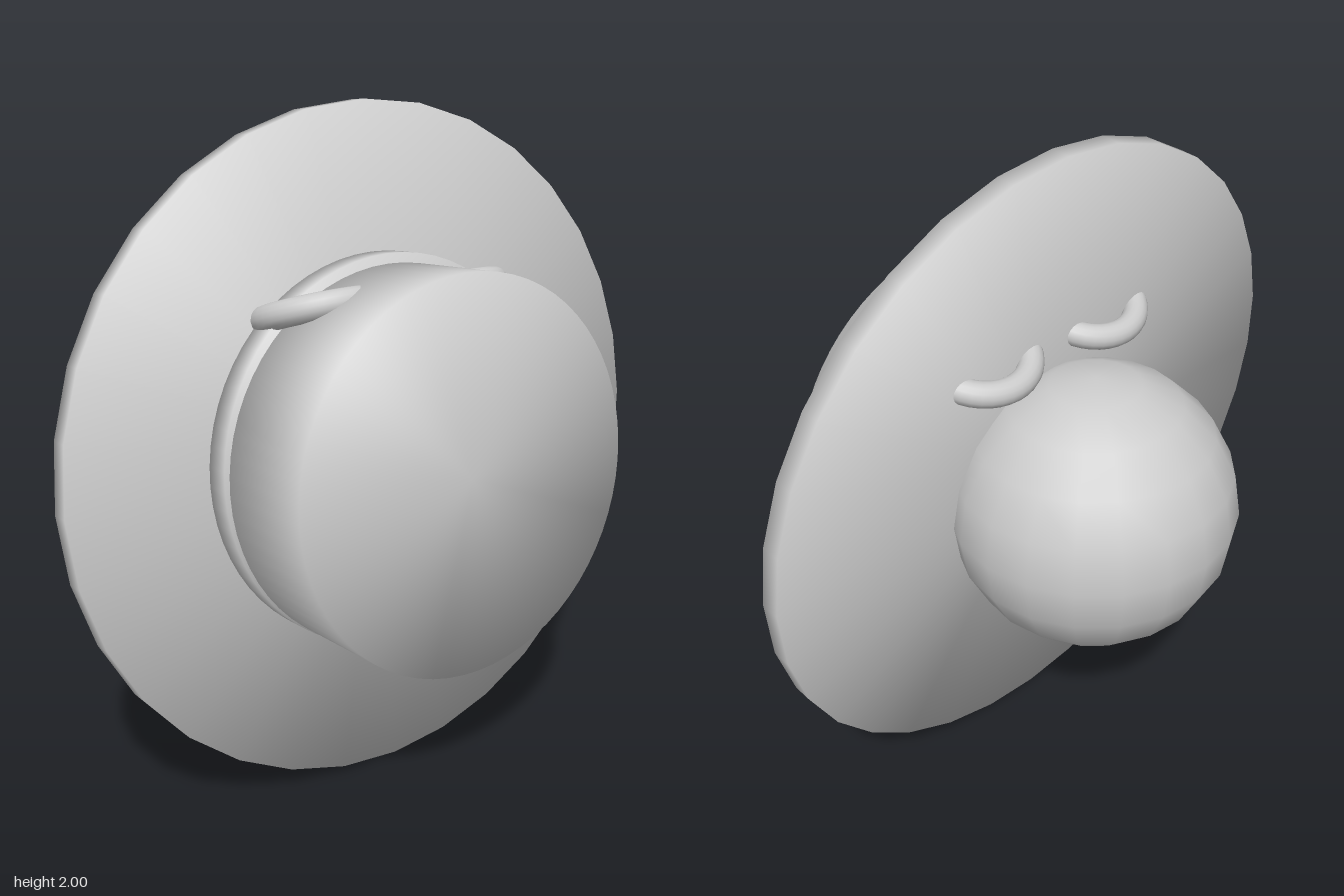
import * as THREE from 'three';

const grey = new THREE.MeshStandardMaterial({ color: 0xcccccc });
grey.name = 'light grey';

function addMesh(parent, name, geometry, x, y, z) {
  const mesh = new THREE.Mesh(geometry, grey);
  mesh.name = name;
  mesh.position.set(x, y, z);
  parent.add(mesh);
  return mesh;
}

// Closed disc whose rim is shaded softly: rim normals lean halfway outwards
function softDisc(radius, height, segments) {
  const geometry = new THREE.CylinderGeometry(radius, radius, height, segments);
  const pos = geometry.attributes.position;
  const n = new THREE.Vector3();
  for (let i = 0; i < pos.count; i++) {
    n.set(pos.getX(i) / radius, Math.sign(pos.getY(i)), pos.getZ(i) / radius).normalize();
    geometry.attributes.normal.setXYZ(i, n.x, n.y, n.z);
  }
  return geometry;
}

export function createModel() {
  const model = new THREE.Group();
  model.name = 'hatOnBall';

  // Hat, facing forward and leaning back by 5 degrees
  const hat = new THREE.Group();
  hat.name = 'hat';
  hat.position.set(0, 1, 0.08);
  hat.rotation.x = Math.PI / 2 - 0.087;
  model.add(hat);
  addMesh(hat, 'brim', softDisc(1, 0.06, 32), 0, 0, 0);
  addMesh(hat, 'band', softDisc(0.577, 0.08, 64), 0, 0.07, 0);
  addMesh(hat, 'crown', softDisc(0.562, 0.43, 64), 0, 0.235, 0.014);

  // Ball behind the brim
  addMesh(model, 'head', new THREE.SphereGeometry(0.435, 20, 10), 0, 0.94, -0.145);

  // Pair of rings piercing the brim and the top of the crown
  for (const side of [1, -1]) {
    const ring = addMesh(model, side > 0 ? 'leftRing' : 'rightRing',
      new THREE.TorusGeometry(0.16, 0.038, 16, 40), side * 0.22, 1.445, 0.11);
    ring.rotation.x = Math.PI / 2 - 0.34;
  }

  return model;
}
